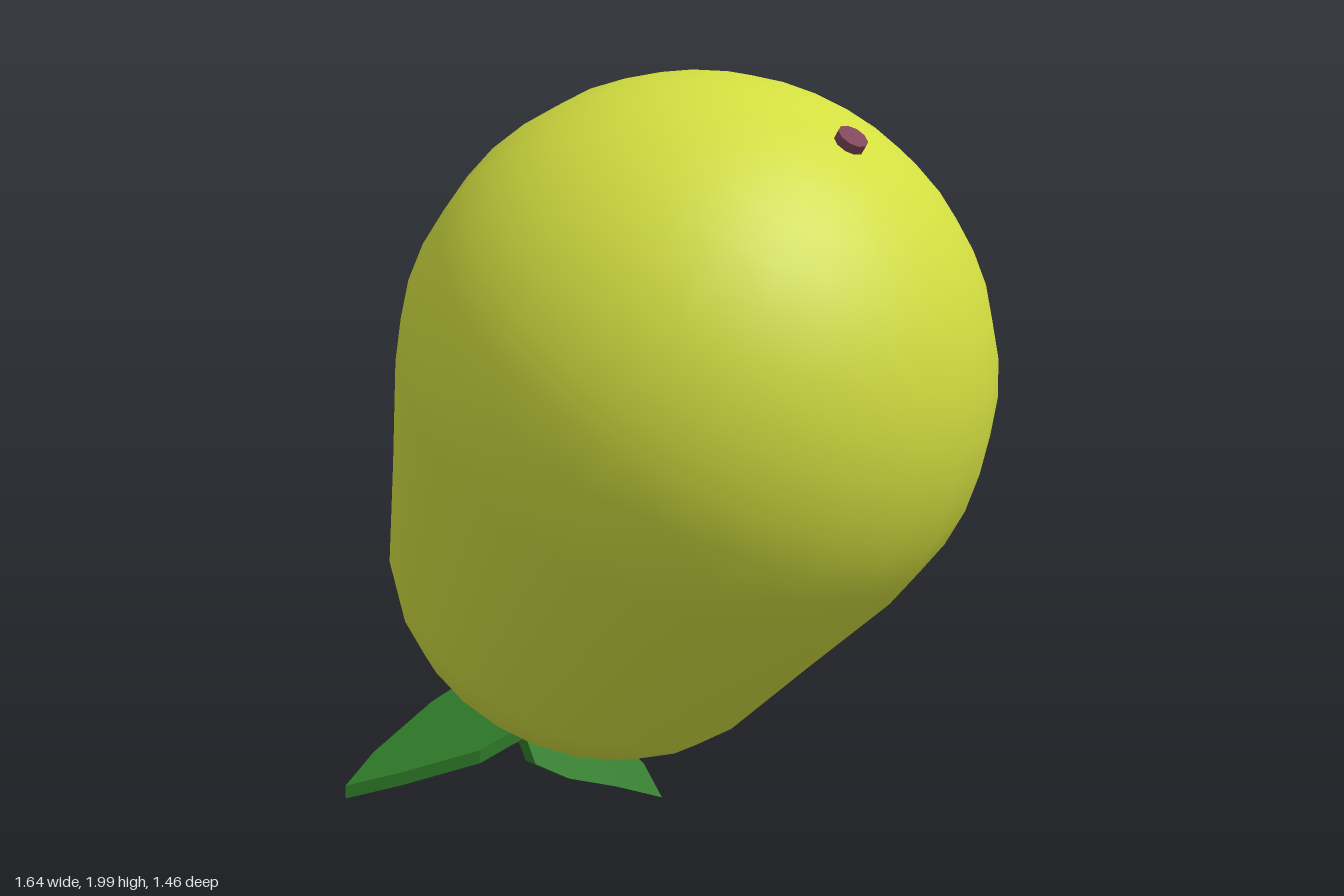
import * as THREE from 'three';

const material = (color) => new THREE.MeshStandardMaterial({ color });

function addMesh(group, name, geometry, mat) {
  const mesh = new THREE.Mesh(geometry, mat);
  mesh.name = name;
  group.add(mesh);
  return mesh;
}

// Round rod between two points
function addRod(group, name, from, to, radius, mat) {
  const a = new THREE.Vector3(...from), b = new THREE.Vector3(...to);
  const dir = b.clone().sub(a);
  const rod = addMesh(group, name, new THREE.CylinderGeometry(radius, radius, dir.length(), 10), mat);
  rod.position.copy(a).add(b).multiplyScalar(0.5);
  rod.quaternion.setFromUnitVectors(new THREE.Vector3(0, 1, 0), dir.normalize());
}

// Thin slab from an outline, laid into a slanted plane by place(u, v, w)
function leafGeometry(outline, thickness, place) {
  const shape = new THREE.Shape(outline.map(([u, v]) => new THREE.Vector2(u, v)));
  const geometry = new THREE.ExtrudeGeometry(shape, { depth: thickness, bevelEnabled: false });
  const pos = geometry.attributes.position;
  for (let i = 0; i < pos.count; i++) pos.setXYZ(i, ...place(pos.getX(i), pos.getY(i), pos.getZ(i)));
  geometry.computeVertexNormals();
  return geometry;
}

export function createModel() {
  const group = new THREE.Group();
  const skin = material(0xd2de40);
  const wood = material(0x7d4558);
  const green = material(0x2f7a28);

  // Fruit: dimple, rounded rim and straight flank, then a spherical cap
  const profile = [
    [0, -0.94], [0.09, -0.965], [0.16, -1.015], [0.225, -1.045], [0.31, -1.02],
    [0.41, -0.935], [0.475, -0.86], [0.52, -0.78], [0.615, -0.47],
  ].map(([r, y]) => new THREE.Vector2(r, y));
  const start = -0.24, steps = 12;
  for (let i = 0; i <= steps; i++) {
    const a = start + (Math.PI / 2 - start) * i / steps;
    profile.push(new THREE.Vector2(Math.max(0, 0.73 * Math.cos(a)), 0.73 * Math.sin(a)));
  }
  const fruit = addMesh(group, 'fruit', new THREE.LatheGeometry(profile, 24), skin);
  fruit.position.set(0.09, 1.27, 0);
  fruit.rotation.z = -0.583;

  // Stem below and stub on the upper shoulder
  addRod(group, 'stem', [-0.39, 0.52, 0], [-0.63, 0.2, 0], 0.036, wood);
  addRod(group, 'stub', [0.48, 1.78, -0.06], [0.545, 1.866, -0.06], 0.038, wood);

  // Front leaf, outlined in x and z, sloping down towards the front
  const front = [
    [-0.69, -0.11], [-0.80, -0.07], [-0.82, 0.12], [-0.79, 0.34], [-0.74, 0.47],
    [-0.63, 0.37], [-0.49, 0.22], [-0.46, 0.10], [-0.55, -0.04],
  ].map(([x, z]) => [x, -z]);
  addMesh(group, 'frontLeaf', leafGeometry(front, 0.035, (u, v, w) => [u, 0.285 + 0.4 * v + w, -v]), green);

  // Back leaf, outlined in z and y, hanging down towards the back
  const back = [
    [-0.32, 0.01], [-0.315, 0.09], [-0.25, 0.20], [-0.17, 0.28], [-0.08, 0.32],
    [0.02, 0.31], [0.07, 0.26], [0.085, 0.18], [-0.01, 0.125], [-0.17, 0.07],
  ].map(([z, y]) => [-z, y]);
  addMesh(group, 'backLeaf', leafGeometry(back, 0.04,
    (u, v, w) => [-0.57 - 0.835 * (v - 0.28) - 0.227 * u + w, v, -u]), green);

  return group;
}
